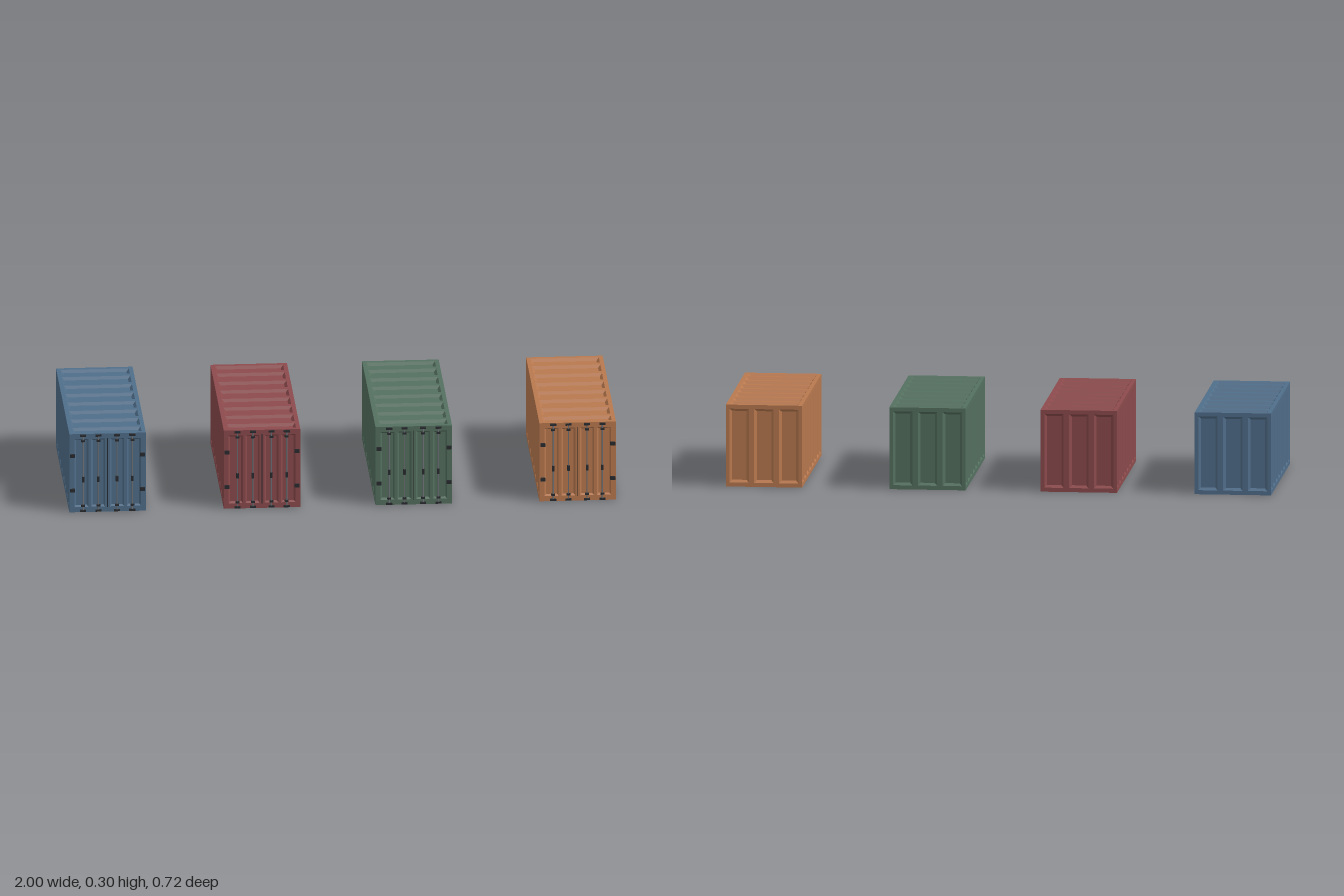
import * as THREE from 'three';
import { mergeGeometries } from 'three/addons/utils/BufferGeometryUtils.js';

const W = 0.28, H = 0.303, L = 0.709, ZC = -0.0035;
const FRONT = ZC + L / 2;

const mat = (name, color) => {
  const m = new THREE.MeshStandardMaterial({ color });
  m.name = name;
  return m;
};

// Flat wall facing +z with bevelled rectangular recesses, each [u0, u1, v0, v1]
function panelWall(w, h, recesses, inset = 0.009, depth = 0.01) {
  const shape = new THREE.Shape([[-w, -h], [w, -h], [w, h], [-w, h]].map(([x, y]) => new THREE.Vector2(x / 2, y / 2)));
  const pos = [];
  const quad = (a, b, c, d) => [a, b, c, a, c, d].forEach((p) => pos.push(...p));
  for (const [u0, u1, v0, v1] of recesses) {
    shape.holes.push(new THREE.Path([[u0, v0], [u0, v1], [u1, v1], [u1, v0]].map((p) => new THREE.Vector2(...p))));
    const ring = (i, z) => [
      [u0 + i, v0 + i, z], [u1 - i, v0 + i, z], [u1 - i, v1 - i, z], [u0 + i, v1 - i, z],
    ];
    const o = ring(0, 0), n = ring(inset, -depth);
    quad(...n);
    for (let k = 0; k < 4; k++) {
      const j = (k + 1) % 4;
      quad(o[k], o[j], n[j], n[k]);
    }
  }
  const face = new THREE.ShapeGeometry(shape).toNonIndexed();
  face.deleteAttribute('uv');
  const dents = new THREE.BufferGeometry();
  dents.setAttribute('position', new THREE.Float32BufferAttribute(pos, 3));
  dents.computeVertexNormals();
  return mergeGeometries([face, dents]);
}

// Recess bands along the container length, u runs from front to back
const bands = [[0.333, 0.283]];
for (let i = 0; i < 6; i++) bands.push([0.264 - i * 0.0912, 0.193 - i * 0.0912]);
bands.push([-0.2835, -0.341]);
const longWall = (height) => panelWall(L, height,
  bands.map(([a, b]) => [ZC - a, ZC - b, -height / 2 + 0.015, height / 2 - 0.015]));

function shellGeometry() {
  const y = H / 2, x = W / 2;
  const v = H / 2 - 0.015;
  const back = [-1, 0, 1].map((i) => [i * 0.091 - 0.0355, i * 0.091 + 0.0355, -v, v]);
  return mergeGeometries([
    longWall(H).rotateY(Math.PI / 2).translate(x, y, ZC),
    longWall(H).rotateZ(Math.PI).rotateY(-Math.PI / 2).translate(-x, y, ZC),
    longWall(W).rotateZ(Math.PI / 2).rotateX(-Math.PI / 2).translate(0, H, ZC),
    longWall(W).rotateZ(-Math.PI / 2).rotateX(Math.PI / 2).translate(0, 0, ZC),
    panelWall(W, H, back).rotateY(Math.PI).translate(0, y, ZC - L / 2),
  ]);
}

// Front wall: two doors, each with two recessed panels
function doorGeometry() {
  const v = H / 2 - 0.02;
  const r = [];
  for (const [a, b] of [[0.009, 0.06], [0.07, 0.122]]) r.push([a, b, -v, v], [-b, -a, -v, v]);
  return panelWall(W, H, r, 0.006, 0.007).translate(0, H / 2, FRONT);
}

const box = (w, h, d, x, y, z) => new THREE.BoxGeometry(w, h, d).translate(x, y, z);

const rodX = [-0.09, -0.034, 0.034, 0.09];

function rodGeometry() {
  return mergeGeometries(rodX.map((x) =>
    new THREE.CylinderGeometry(0.0025, 0.0025, H - 0.006, 8).translate(x, H / 2, FRONT + 0.0028)));
}

// Rod brackets, handles, side hinges and the door seam
function fittingGeometry() {
  const parts = [box(0.003, H - 0.034, 0.001, 0, H / 2, FRONT + 0.0003)];
  for (const x of rodX) {
    for (const y of [0.006, 0.026, H - 0.026, H - 0.006]) {
      parts.push(box(y < 0.01 || y > 0.29 ? 0.022 : 0.014, 0.007, 0.007, x, y, FRONT + 0.0035));
    }
    parts.push(box(0.009, 0.02, 0.007, x, 0.128, FRONT + 0.0035));
  }
  for (const s of [-1, 1]) {
    for (const y of [0.085, 0.219]) parts.push(box(0.018, 0.013, 0.006, s * 0.128, y, FRONT + 0.003));
  }
  return mergeGeometries(parts);
}

export function createModel() {
  const group = new THREE.Group();
  group.name = 'shippingContainers';
  const steel = mat('rod grey', 0x6c7176);
  const dark = mat('fitting dark', 0x292b2e);
  const shell = shellGeometry(), doors = doorGeometry();
  const rods = rodGeometry(), fittings = fittingGeometry();

  const containers = [
    ['blue', 0x506e8a, -0.86],
    ['red', 0x8c4a4c, -0.295],
    ['green', 0x54705f, 0.26],
    ['orange', 0xb9794f, 0.86],
  ];
  for (const [name, color, x] of containers) {
    const c = new THREE.Group();
    c.name = name + 'Container';
    c.position.x = x;
    const paint = mat(name + ' paint', color);
    for (const [part, geo, m] of [
      ['shell', shell, paint], ['doors', doors, paint],
      ['lockingRods', rods, steel], ['doorFittings', fittings, dark],
    ]) {
      const mesh = new THREE.Mesh(geo, m);
      mesh.name = part;
      c.add(mesh);
    }
    group.add(c);
  }
  return group;
}
